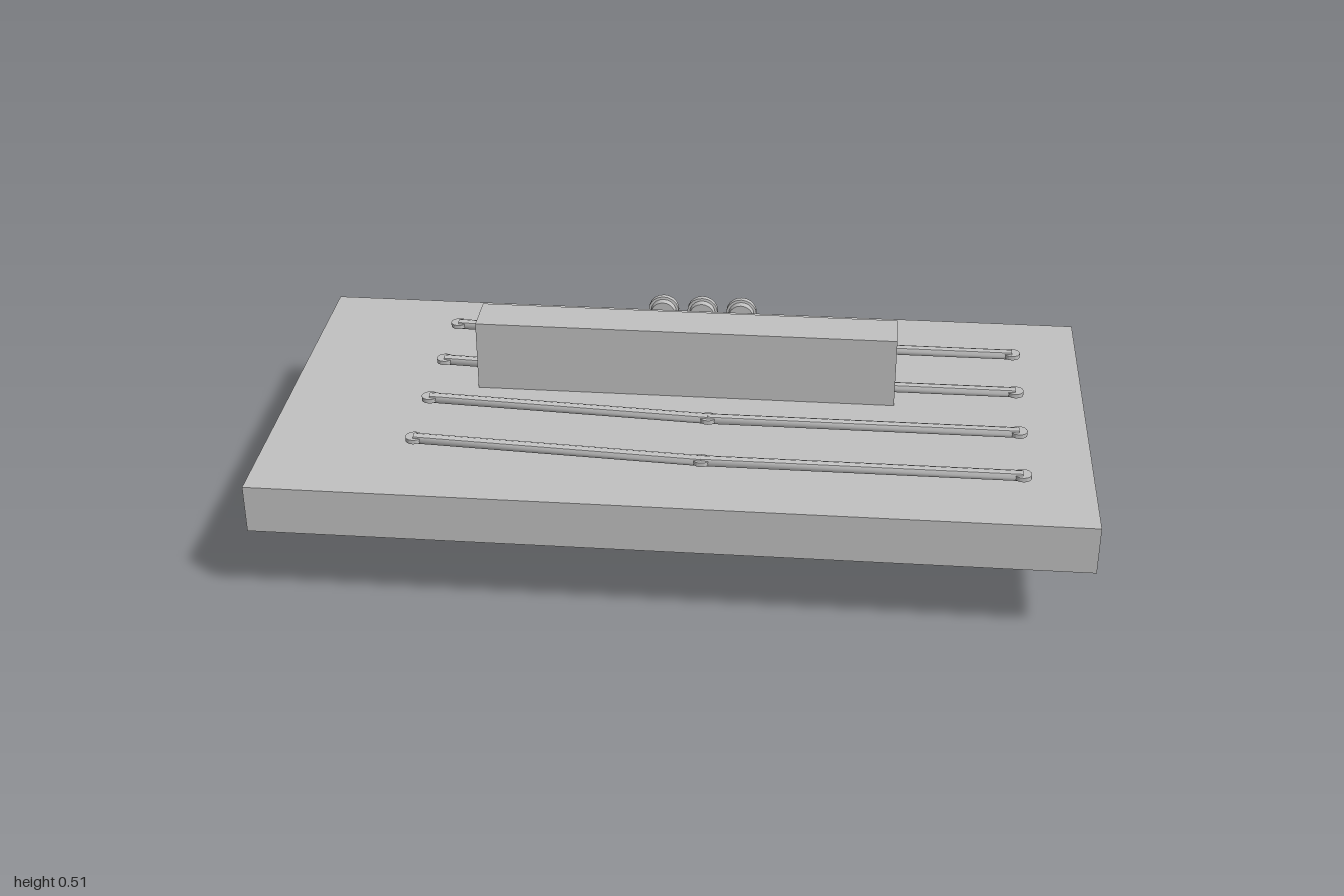
import * as THREE from 'three';
import { toCreasedNormals } from 'three/addons/utils/BufferGeometryUtils.js';

export function createModel() {
  const model = new THREE.Group();
  model.name = 'model';
  const grey = new THREE.MeshStandardMaterial({ color: 0xc2c2c2 });
  grey.name = 'plain grey';

  const add = (parent, name, geometry, x = 0, y = 0, z = 0) => {
    const mesh = new THREE.Mesh(geometry, grey);
    mesh.name = name;
    mesh.position.set(x, y, z);
    parent.add(mesh);
    return mesh;
  };
  const group = (name) => {
    const g = new THREE.Group();
    g.name = name;
    model.add(g);
    return g;
  };

  // Wide base slab and the upright block passing through it
  add(model, 'slab', new THREE.BoxGeometry(2, 0.122, 1), 0, 0.266, 0.035);
  add(model, 'block', new THREE.BoxGeometry(1.055, 0.486, 0.113), -0.002, 0.266, -0.048);

  // Grid of window panels standing just off the back of the block
  const windows = group('windows');
  const pane = new THREE.BoxGeometry(0.083, 0.071, 0.012);
  for (let row = 0; row < 4; row++) {
    for (let col = 0; col < 8; col++) {
      add(windows, 'window', pane, -0.449 + col * 0.1294, 0.081 + row * 0.1215, -0.124);
    }
  }

  // Small tabs along the ground
  const tabs = group('tabs');
  const tab = new THREE.BoxGeometry(0.026, 0.017, 0.007);
  for (let i = 0; i < 6; i++) add(tabs, 'tab', tab, -0.36 + i * 0.157, 0.0085, -0.1395);

  // Four bent rails, with a flat round joint at each corner
  const rails = group('rails');
  const joint = toCreasedNormals(new THREE.CylinderGeometry(0.021, 0.021, 0.011, 16), 0.6);
  const addRod = (a, b) => {
    const length = a.distanceTo(b);
    const geometry = new THREE.CylinderGeometry(0.0133, 0.0133, length, 8);
    const rod = add(rails, 'rod', toCreasedNormals(geometry, 0.9));
    rod.position.copy(a).add(b).multiplyScalar(0.5);
    const direction = b.clone().sub(a).normalize();
    rod.quaternion.setFromUnitVectors(new THREE.Vector3(0, 1, 0), direction);
  };
  for (const z of [-0.23, -0.03, 0.17, 0.37]) {
    const points = [[-0.63, z - 0.043], [0.07, z], [0.827, z]]
      .map(([x, pz]) => new THREE.Vector3(x, 0.359, pz));
    addRod(points[0], points[1]);
    addRod(points[1], points[2]);
    for (const p of points) add(rails, 'joint', joint, p.x, p.y, p.z);
  }

  // Stepped round knobs behind the slab, turned about an axis along -z
  const knobs = group('knobs');
  const profile = [
    [0, 0], [0.033, 0], [0.035, 0.018], [0.0418, 0.019], [0.0418, 0.034],
    [0.027, 0.034], [0.026, 0.045], [0.014, 0.045], [0.014, 0.037], [0, 0.037],
  ].map(([r, h]) => new THREE.Vector2(r, h));
  const knob = toCreasedNormals(new THREE.LatheGeometry(profile, 20).rotateX(-Math.PI / 2), 0.6);
  for (const y of [0.209, 0.302]) {
    for (const x of [-0.107, 0, 0.107]) add(knobs, 'knob', knob, x, y, -0.49);
  }

  return model;
}
